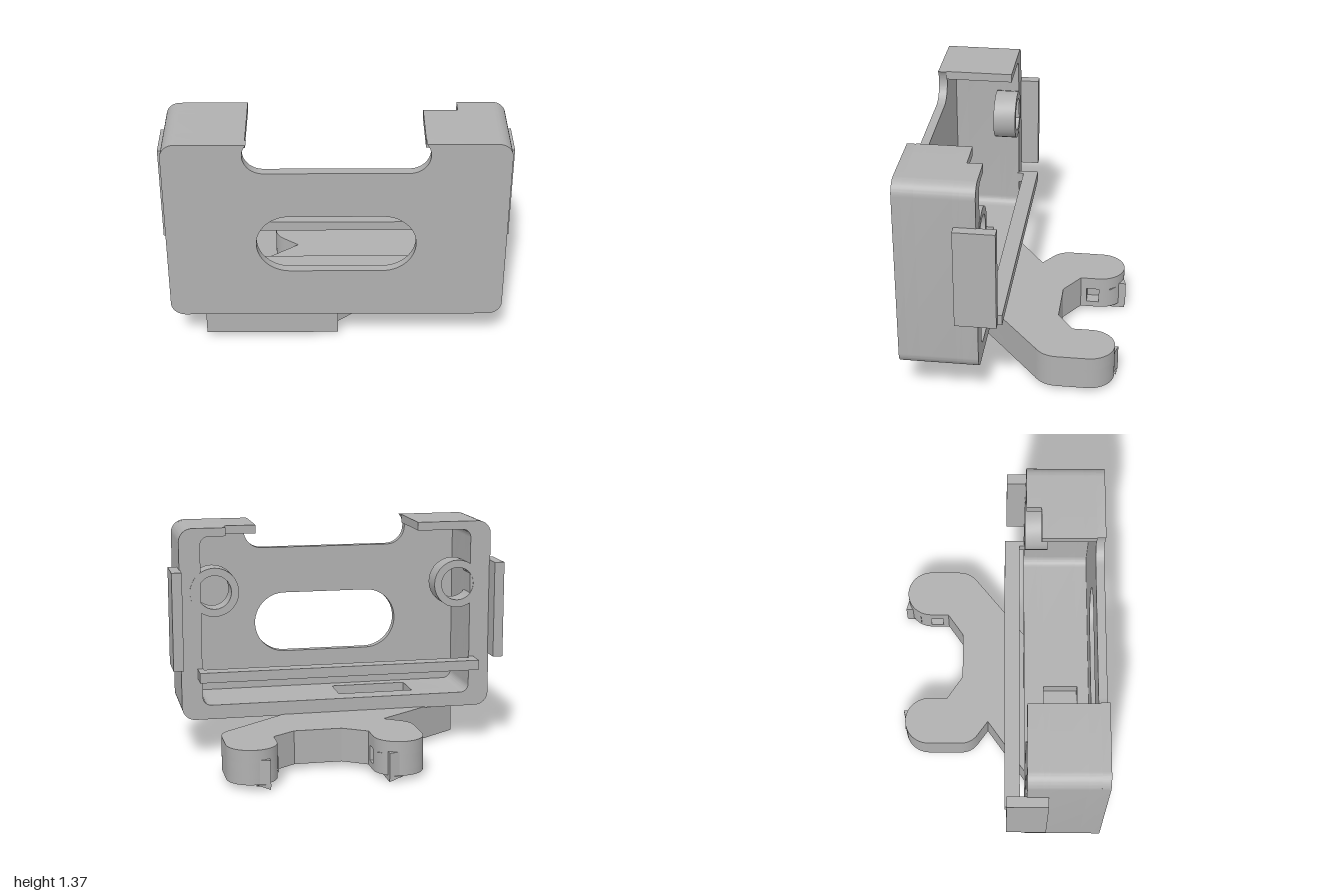
import * as THREE from 'three';
import { toCreasedNormals } from 'three/addons/utils/BufferGeometryUtils.js';

const grey = new THREE.MeshStandardMaterial({ color: 0xb0b0b0 });
grey.name = 'plain grey';

export function createModel() {
  const model = new THREE.Group();
  model.name = 'deviceHolder';

  const add = (name, geo) => {
    const mesh = new THREE.Mesh(geo, grey);
    mesh.name = name;
    model.add(mesh);
    return mesh;
  };
  const box = (name, x0, x1, y0, y1, z0, z1) => {
    const g = new THREE.BoxGeometry(x1 - x0, y1 - y0, z1 - z0);
    g.translate((x0 + x1) / 2, (y0 + y1) / 2, (z0 + z1) / 2);
    return add(name, g);
  };
  const extrude = (shape, depth) => toCreasedNormals(
    new THREE.ExtrudeGeometry(shape, { depth, bevelEnabled: false, curveSegments: 14 }), 0.5);
  // outline in x/y, extruded from z0 to z1
  const alongZ = (name, shape, z0, z1) => add(name, extrude(shape, z1 - z0).translate(0, 0, z0));
  // outline in x/-z, extruded from y0 to y1
  const alongY = (name, shape, y0, y1) =>
    add(name, extrude(shape, y1 - y0).rotateX(-Math.PI / 2).translate(0, y0, 0));
  const poly = pts => new THREE.Shape(pts.map(p => new THREE.Vector2(p[0], p[1])));
  const PI = Math.PI;

  // shell dimensions
  const W = 0.945, B = 0.225, T = 1.37, R = 0.08;
  const w = 0.82, b = 0.31, t = 1.32, r = 0.05;

  // front panel with finger notch and oval window
  const front = new THREE.Shape();
  front.moveTo(-W + R, B);
  front.lineTo(W - R, B);
  front.absarc(W - R, B + R, R, -PI / 2, 0);
  front.lineTo(W, T - R);
  front.absarc(W - R, T - R, R, 0, PI / 2);
  front.lineTo(0.485, T);
  front.absarc(0.395, 1.3, 0.112, 0.67, -PI / 2, true);
  front.lineTo(-0.395, 1.188);
  front.absarc(-0.395, 1.3, 0.112, -PI / 2, -PI - 0.67, true);
  front.lineTo(-W + R, T);
  front.absarc(-W + R, T - R, R, PI / 2, PI);
  front.lineTo(-W, B + R);
  front.absarc(-W + R, B + R, R, PI, PI * 1.5);
  const oval = new THREE.Path();
  oval.absarc(0.258, 0.72, 0.185, PI / 2, -PI / 2, true);
  oval.absarc(-0.26, 0.72, 0.185, -PI / 2, -PI * 1.5, true);
  oval.closePath();
  front.holes.push(oval);
  alongZ('frontPanel', front, 0.545, 0.595);

  // half of the wall frame: top end, side, bottom end (s = side sign)
  const halfFrame = (s, topEnd, bottomEnd) => {
    const p = new THREE.Path();
    p.moveTo(bottomEnd * s, B);
    p.lineTo(W - R, B);
    p.absarc(W - R, B + R, R, -PI / 2, 0);
    p.lineTo(W, T - R);
    p.absarc(W - R, T - R, R, 0, PI / 2);
    p.lineTo(topEnd * s, T);
    p.lineTo(topEnd * s, t);
    p.lineTo(w - r, t);
    p.absarc(w - r, t - r, r, PI / 2, 0, true);
    p.lineTo(w, b + r);
    p.absarc(w - r, b + r, r, 0, -PI / 2, true);
    p.lineTo(bottomEnd * s, b);
    return poly(p.getPoints(8).map(v => [v.x * s, v.y]));
  };
  // wall slices from back to front: z range, right top end, bottom opening edges
  for (const [z0, z1, topEnd, gapL, gapR] of [
    [0.15, 0.235, 0.67, -0.03, -0.03],
    [0.235, 0.27, 0.48, -0.03, -0.03],
    [0.27, 0.475, 0.48, -0.49, -0.03],
    [0.475, 0.545, 0.48, -0.03, -0.03],
  ]) {
    alongZ('shellWallRight', halfFrame(-1, -0.49, gapL), z0, z1);
    alongZ('shellWallLeft', halfFrame(1, topEnd, gapR), z0, z1);
  }

  // side plates, screw rings and strap bar ends
  for (const s of [-1, 1]) {
    const span = (a, c) => (s > 0 ? [a, c] : [-c, -a]);
    box('sidePlate', ...span(0.94, 1.0), 0.55, 1.13, 0.04, 0.27);
    box('strapBarEnd', ...span(0.815, 0.848), 0.475, 0.535, 0.11, 0.16);
    const ring = new THREE.Shape();
    ring.absarc(s * 0.74, 0.99, 0.145, 0, PI * 2);
    const bore = new THREE.Path();
    bore.absarc(s * 0.74, 0.99, 0.1, 0, PI * 2, true);
    ring.holes.push(bore);
    alongZ('screwRing', ring, 0.146, 0.28);
  }
  box('strapBar', -0.848, 0.848, 0.475, 0.535, 0.03, 0.12);

  // base: foot, diagonal arm and two-pronged claw
  const base = pocket => {
    const p = new THREE.Shape();
    p.moveTo(-0.755, -0.52);
    p.lineTo(0.01, -0.52);
    p.lineTo(0.01, -0.42);
    p.lineTo(0.69, 0.13);
    p.quadraticCurveTo(0.765, 0.18, 0.765, 0.26);
    p.lineTo(0.765, 0.435);
    p.absarc(0.62, 0.435, 0.145, 0, PI);
    if (pocket) for (const q of [[0.475, 0.5], [0.55, 0.5], [0.55, 0.36], [0.475, 0.36]]) p.lineTo(...q);
    p.lineTo(0.475, 0.325);
    p.lineTo(0.34, 0.23);
    p.lineTo(0.06, 0.23);
    p.lineTo(-0.08, 0.325);
    if (pocket) for (const q of [[-0.08, 0.36], [-0.155, 0.36], [-0.155, 0.5], [-0.08, 0.5]]) p.lineTo(...q);
    p.lineTo(-0.08, 0.435);
    p.absarc(-0.225, 0.435, 0.145, 0, PI);
    p.lineTo(-0.37, 0.24);
    p.quadraticCurveTo(-0.37, 0.17, -0.31, 0.13);
    p.lineTo(-0.23, 0.072);
    p.lineTo(-0.755, -0.3);
    return p;
  };
  alongY('baseBottom', base(false), 0.03, 0.065);
  alongY('baseMiddle', base(true), 0.065, 0.155);
  alongY('baseTop', base(false), 0.155, 0.23);

  // small wedge blades under and at the tip of each prong
  for (const s of [-1, 1]) {
    const x = d => 0.198 + s * d;
    alongZ('bladeRib', poly([[x(0.418), 0.032], [x(0.338), 0], [x(0.338), 0.032]]), -0.59, -0.27);
    alongY('bladeTip', poly([[x(0.418), 0.572], [x(0.338), 0.595], [x(0.338), 0.53]]), 0.02, 0.17);
  }
  return model;
}
